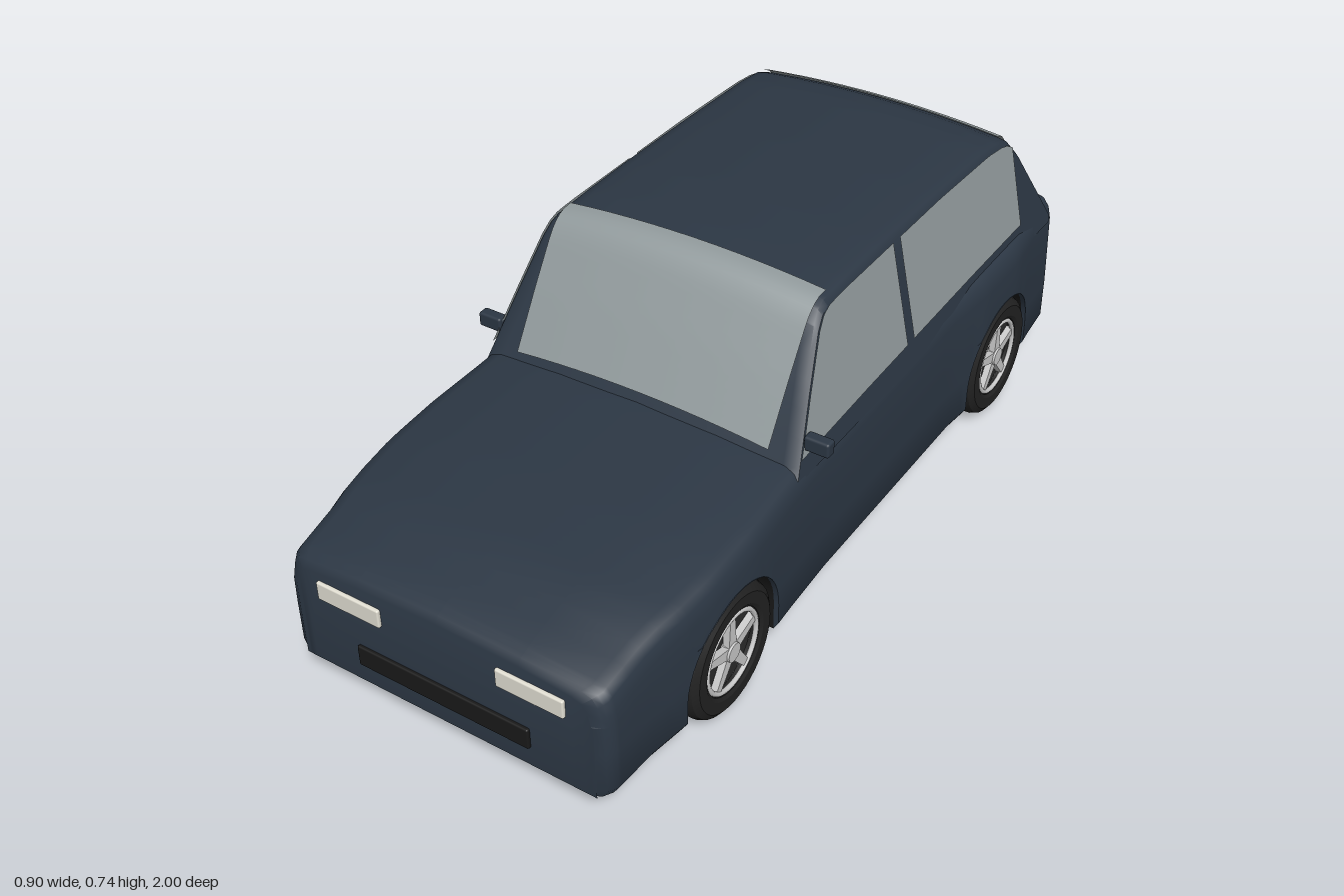
import * as THREE from 'three';
import { toCreasedNormals } from 'three/addons/utils/BufferGeometryUtils.js';
import { RoundedBoxGeometry } from 'three/addons/geometries/RoundedBoxGeometry.js';

const mat = (color, side = THREE.FrontSide) => new THREE.MeshStandardMaterial({ color, side });
const paint = mat(0x2c3744, THREE.DoubleSide), black = mat(0x191919, THREE.DoubleSide);
const glass = mat(0x929b9d, THREE.DoubleSide), rubber = mat(0x222222);
const metal = mat(0xcccccc), lamp = mat(0xe2dfd3), red = mat(0x9c0a0e);

// Linear lookup in a table of [z, value], z falling
function lookup(table, z) {
  if (z >= table[0][0]) return table[0][1];
  for (let i = 1; i < table.length; i++) {
    const [z0, a] = table[i - 1], [z1, b] = table[i];
    if (z >= z1) return a + (b - a) * (z - z0) / (z1 - z0);
  }
  return table[table.length - 1][1];
}
const WIDTH = [[0.99, 0.37], [0.98, 0.388], [0.96, 0.4], [0.85, 0.406], [0.74, 0.422], [0.65, 0.43], [0.5, 0.43],
  [0.35, 0.421], [0.2, 0.415], [-0.4, 0.415], [-0.55, 0.429], [-0.72, 0.429], [-0.86, 0.411], [-0.96, 0.402], [-0.98, 0.39], [-0.99, 0.372]];
const DECK = [[0.99, 0.345], [0.98, 0.36], [0.95, 0.372], [0.8, 0.407], [0.6, 0.426], [0.3, 0.447], [0, 0.456],
  [-0.5, 0.466], [-0.9, 0.47], [-0.965, 0.465], [-0.98, 0.457], [-0.99, 0.435]];
const ROOF = [[0.31, 0.44], [0.22, 0.59], [0.15, 0.7], [0.125, 0.725], [0.1, 0.735], [0, 0.74], [-0.15, 0.742],
  [-0.4, 0.738], [-0.65, 0.73], [-0.73, 0.72], [-0.765, 0.705], [-0.8, 0.665], [-0.93, 0.455]];
const AXLES = [0.58, -0.65], FLOOR = 0.08, ARCH = 0.17;

// Skin over rows of points, front to back
function loft(rows, crease = 0.6) {
  const n = rows[0].length, index = [];
  for (let i = 0; i < rows.length - 1; i++)
    for (let j = 0; j < n - 1; j++) {
      const a = i * n + j, b = a + n;
      index.push(a, b, a + 1, b, b + 1, a + 1);
    }
  const g = new THREE.BufferGeometry();
  g.setAttribute('position', new THREE.Float32BufferAttribute(rows.flat(2), 3));
  g.setIndex(index);
  return toCreasedNormals(g, crease);
}
function add(parent, name, geometry, material, x = 0, y = 0, z = 0) {
  const m = new THREE.Mesh(geometry, material);
  m.name = name;
  m.position.set(x, y, z);
  parent.add(m);
  return m;
}
const range = (a, b, n) => Array.from({ length: n + 1 }, (_, i) => a + (b - a) * i / n);
const mirrorRow = half => [...half, ...half.slice(0, -1).reverse().map(([x, y, z]) => [-x, y, z])];

// Lower edge of the body, raised over the wheels
function sill(z) {
  for (const a of AXLES) {
    const t = (z - a) / ARCH;
    if (Math.abs(t) <= 1) return 0.15 + ARCH * Math.sqrt(1 - t * t);
  }
  return FLOOR;
}
function bodyHalf(z) {
  const w = lookup(WIDTH, z), c = lookup(DECK, z), h = c - 0.018, b = sill(z);
  return [[w - 0.012, FLOOR], [w, 0.1], [w, 0.2], [w - 0.002, 0.27], [w - 0.006, h - 0.055], [w - 0.013, h - 0.025],
    [w - 0.026, h - 0.007], [w - 0.05, h], [0.2, c - 0.006], [0, c]].map(([x, y]) => [x, Math.max(y, b), z]);
}

// Cabin surface: leaning sides and a crowned roof
const sideX = y => 0.402 - (y - 0.42) * 0.21;
const topY = (x, z) => lookup(ROOF, z) - 0.02 * (x / 0.34) ** 2;
function cabinHalf(z) {
  const e = Math.max(topY(0.335, z), 0.415), pts = [];
  for (const t of [0, 0.33, 0.66, 1]) {
    const y = 0.4 + (e - 0.014 - 0.4) * t;
    pts.push([sideX(y), y, z]);
  }
  const xe = sideX(e) - 0.008;
  pts.push([xe, e - 0.003, z]);
  for (const k of [0.93, 0.7, 0.45, 0.2, 0]) pts.push([xe * k, Math.max(topY(xe * k, z), e - 0.003), z]);
  return pts;
}
// Pane lying on the screen slope
const screen = (z0, z1) => loft(range(z0, z1, 16).map(z =>
  range(0.325, -0.325, 12).map(x => [x, topY(x, z) + 0.005, z + 0.003 * Math.sign(z)])), 1);
// Pane lying on the cabin side
const sidePane = (s, z0, z1) => loft(range(z0, z1, 20).map(z => {
  const low = lookup(DECK, z) - 0.001, high = Math.max(low, Math.min(0.708, lookup(ROOF, z) - 0.03));
  return range(low, high, 5).map(y => [s * (sideX(y) + 0.004), y, z]);
}), 1);

function makeWheel() {
  const g = new THREE.Group();
  const profile = [[0.1, 0.03], [0.1, 0.05], [0.108, 0.055], [0.135, 0.055], [0.149, 0.045], [0.155, 0.03],
    [0.155, -0.03], [0.149, -0.045], [0.135, -0.055], [0, -0.055]].reverse().map(p => new THREE.Vector2(...p));
  const axial = geo => geo.rotateZ(-Math.PI / 2);
  add(g, 'tyre', axial(toCreasedNormals(new THREE.LatheGeometry(profile, 40), 0.5)), rubber);
  add(g, 'wheelDish', axial(new THREE.CylinderGeometry(0.1, 0.1, 0.02, 32)), mat(0x2c2c2c), 0.02);
  add(g, 'rimRing', new THREE.TorusGeometry(0.093, 0.006, 8, 40).rotateY(Math.PI / 2), metal, 0.046);
  add(g, 'hub', axial(new THREE.CylinderGeometry(0.022, 0.026, 0.03, 20)), metal, 0.038);
  const shape = new THREE.Shape([[-0.014, 0.01], [0.014, 0.01], [0.009, 0.093], [-0.009, 0.093]].map(p => new THREE.Vector2(...p)));
  for (let i = 0; i < 5; i++) {
    const spoke = new THREE.ExtrudeGeometry(shape, { depth: 0.016, bevelEnabled: false }).rotateY(Math.PI / 2);
    add(g, 'spoke', spoke, metal, 0.032).rotation.x = i * Math.PI * 2 / 5;
  }
  return g;
}

export function createModel() {
  const car = new THREE.Group();
  car.name = 'car';

  // Body stations, closer together round the arches and at the ends
  const stations = [...range(-0.95, 0.95, 38).filter(z => sill(z) === FLOOR), ...[0.96, 0.97, 0.98, 0.99].flatMap(z => [z, -z])];
  for (const a of AXLES) {
    for (const t of range(0, Math.PI, 20)) stations.push(a + Math.cos(t) * ARCH * 0.9999);
    stations.push(a + ARCH + 0.0005, a - ARCH - 0.0005);
  }
  stations.sort((a, b) => b - a);
  const rows = stations.map(z => mirrorRow(bodyHalf(z)));
  const cap = row => row.map(([x, , z]) => [x, FLOOR, z]);
  add(car, 'body', loft([cap(rows[0]), ...rows, cap(rows[rows.length - 1])], 0.75), paint);

  // Floor with wheel wells
  const floorRows = stations.map(z => {
    const b = sill(z), x = bodyHalf(z)[0][0];
    return mirrorRow([[x, b, z], [0.29, b, z], [0.29, FLOOR, z], [0, FLOOR, z]]).reverse();
  });
  add(car, 'underbody', loft(floorRows, 0.4), black);

  // Cabin and glazing
  const cabinZ = [...new Set([...ROOF.map(r => r[0]), ...range(0.3, -0.92, 40)])].sort((a, b) => b - a);
  add(car, 'cabin', loft(cabinZ.map(z => mirrorRow(cabinHalf(z))), 0.6), paint);
  add(car, 'windscreen', screen(0.296, 0.075), glass);
  add(car, 'rearWindow', screen(-0.735, -0.89), glass);

  for (const s of [1, -1]) {
    const side = s > 0 ? 'left' : 'right';
    add(car, side + 'FrontWindow', sidePane(s, 0.29, -0.18), glass);
    add(car, side + 'RearWindow', sidePane(s, -0.21, -0.77), glass);
    add(car, side + 'Mirror', new RoundedBoxGeometry(0.06, 0.036, 0.028, 2, 0.006), paint, s * 0.422, 0.477, 0.258);
    add(car, side + 'Headlight', new RoundedBoxGeometry(0.162, 0.046, 0.03, 2, 0.004), lamp, s * 0.225, 0.287, 0.983);
    add(car, side + 'TailLight', new RoundedBoxGeometry(0.13, 0.046, 0.03, 2, 0.004), red, s * 0.282, 0.343, -0.985);
    for (const z of AXLES) {
      const wheel = makeWheel();
      wheel.name = side + (z > 0 ? 'FrontWheel' : 'RearWheel');
      wheel.position.set(s * 0.37, 0.155, z);
      if (s < 0) wheel.rotation.y = Math.PI;
      car.add(wheel);
    }
  }

  // Nose and tail trim
  add(car, 'grille', new RoundedBoxGeometry(0.43, 0.052, 0.03, 2, 0.004), black, 0, 0.156, 0.983);
  add(car, 'tailStrip', new THREE.BoxGeometry(0.45, 0.008, 0.02), red, 0, 0.343, -0.985);
  add(car, 'rearBumper', new RoundedBoxGeometry(0.72, 0.045, 0.03, 2, 0.004), black, 0, 0.113, -0.983);
  return car;
}
